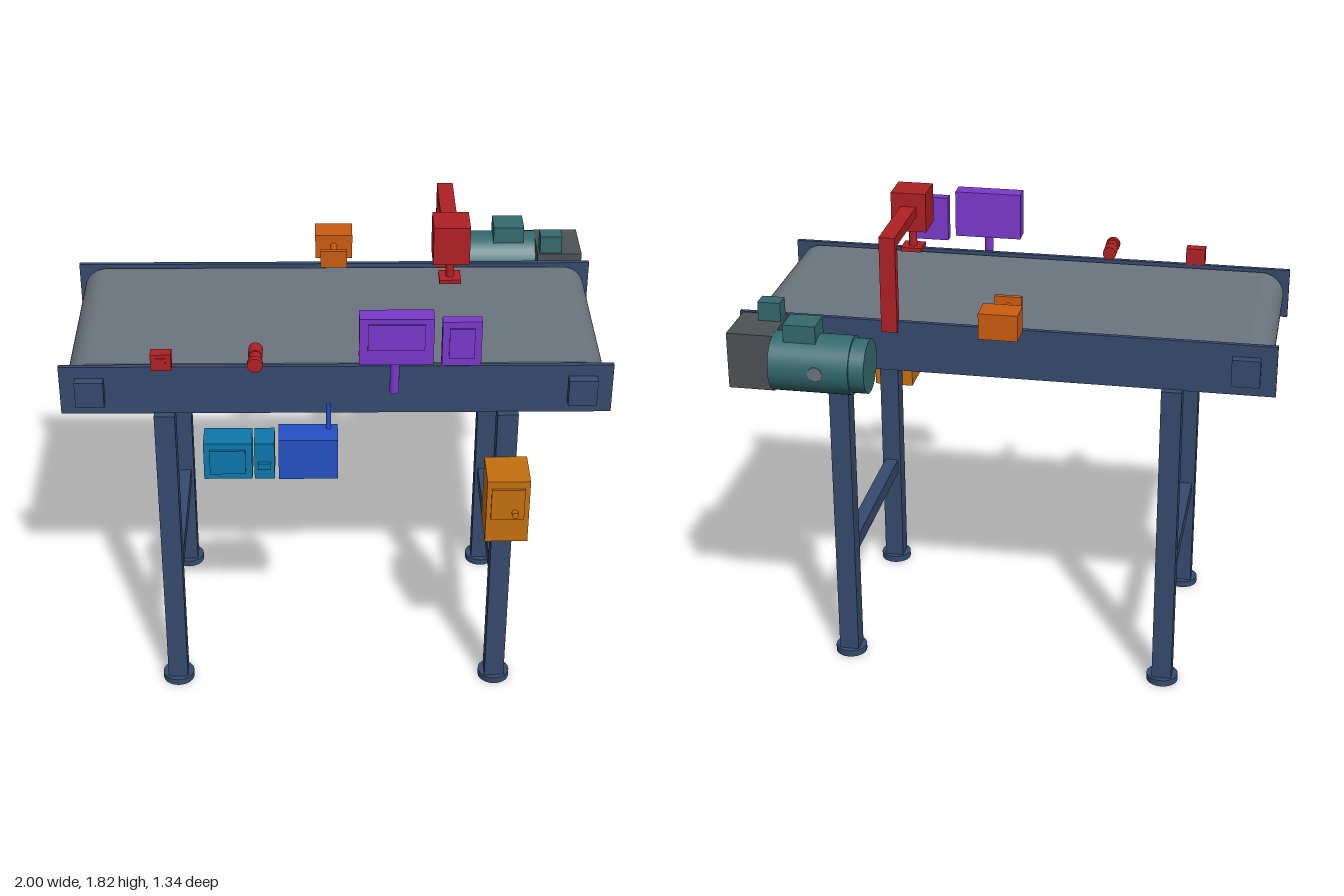
import * as THREE from 'three';
import { toCreasedNormals } from 'three/addons/utils/BufferGeometryUtils.js';

const mat = (name, color) => {
  const m = new THREE.MeshStandardMaterial({ color });
  m.name = name;
  return m;
};

export function createModel() {
  const model = new THREE.Group();
  model.name = 'conveyor';
  const frame = mat('frame navy', 0x354a6e), rubber = mat('belt grey', 0x6c757e);
  const iron = mat('gearbox grey', 0x4c5254), teal = mat('motor teal', 0x33696d);
  const red = mat('sensor red', 0xb02023), orange = mat('sensor orange', 0xcb5c0e);
  const amber = mat('cabinet amber', 0xc5700f), purple = mat('display purple', 0x7a38cc);
  const blue = mat('controller blue', 0x2450c4), cyan = mat('module cyan', 0x0d78ac);

  const add = (name, geo, m, x = 0, y = 0, z = 0) => {
    const mesh = new THREE.Mesh(geo, m);
    mesh.name = name;
    mesh.position.set(x, y, z);
    model.add(mesh);
    return mesh;
  };
  // box given by its low and high limits on each axis
  const box = (name, m, x0, x1, y0, y1, z0, z1) =>
    add(name, new THREE.BoxGeometry(x1 - x0, y1 - y0, z1 - z0), m, (x0 + x1) / 2, (y0 + y1) / 2, (z0 + z1) / 2);
  // cylinder centred at a point, along the chosen axis
  const rod = (name, m, axis, r, len, x, y, z, sides = 32) => {
    const g = new THREE.CylinderGeometry(r, r, len, sides);
    if (axis === 'x') g.rotateZ(Math.PI / 2);
    if (axis === 'z') g.rotateX(Math.PI / 2);
    return add(name, g, m, x, y, z);
  };

  const midZ = 0.045, beltY = 1.34;

  // belt loop
  const stadium = (P, r, hx) => {
    const p = new P();
    p.moveTo(-hx, -r);
    p.lineTo(hx, -r);
    p.absarc(hx, 0, r, -Math.PI / 2, Math.PI / 2, false);
    p.lineTo(-hx, r);
    p.absarc(-hx, 0, r, Math.PI / 2, Math.PI * 1.5, false);
    return p;
  };
  const loop = stadium(THREE.Shape, 0.09, 0.89);
  loop.holes.push(stadium(THREE.Path, 0.08, 0.89));
  const beltGeo = new THREE.ExtrudeGeometry(loop, { depth: 0.725, bevelEnabled: false, curveSegments: 24 });
  add('belt', toCreasedNormals(beltGeo, 0.6), rubber, 0, beltY, midZ - 0.3625);

  // end rollers, shafts and bearing blocks
  for (const s of [-1, 1]) {
    rod('roller', rubber, 'z', 0.08, 0.735, s * 0.89, beltY, midZ);
    rod('rollerShaft', rubber, 'z', 0.035, 0.79, s * 0.89, beltY, midZ);
    for (const d of [-1, 1]) {
      const z = midZ + d * 0.415;
      box('bearingBlock', frame, s * 0.89 - 0.052, s * 0.89 + 0.052, 1.288, 1.392, z - 0.02, z + 0.02);
    }
  }

  // side rails, slider bed and cross members
  for (const d of [-1, 1]) {
    const z = midZ + d * 0.39;
    box('sideRail', frame, -1, 1, 1.242, 1.438, z - 0.009, z + 0.009);
  }
  box('sliderBed', frame, -0.8, 0.8, 1.395, 1.418, midZ - 0.385, midZ + 0.385);
  for (const x of [-0.4, 0.4])
    box('crossMember', frame, x - 0.03, x + 0.03, 1.242, 1.3, midZ - 0.385, midZ + 0.385);

  // legs with round feet and braces
  for (const x of [-0.625, 0.625]) {
    for (const d of [-1, 1]) {
      const z = midZ + d * 0.39;
      box('leg', frame, x - 0.038, x + 0.038, 0.015, 1.245, z - 0.038, z + 0.038);
      rod('foot', frame, 'y', 0.061, 0.026, x, 0.013, z, 24);
    }
    box('legBrace', frame, x - 0.027, x + 0.027, 0.425, 0.485, midZ - 0.36, midZ + 0.36);
  }

  // drive: gearbox, motor, terminal boxes
  box('gearbox', iron, 0.803, 0.976, 1.236, 1.45, -0.597, -0.388);
  rod('motorBody', teal, 'x', 0.109, 0.297, 0.657, 1.344, -0.561, 40);
  rod('motorEndCap', teal, 'x', 0.1, 0.06, 0.482, 1.344, -0.561, 40);
  rod('motorPlug', rubber, 'z', 0.027, 0.02, 0.63, 1.344, -0.662, 20);
  box('motorTerminalBox', teal, 0.637, 0.757, 1.42, 1.505, -0.615, -0.505);
  box('driveSensorBox', teal, 0.811, 0.896, 1.445, 1.522, -0.458, -0.394);

  // small box sensor on the front rail
  box('railSensor', red, -0.665, -0.59, 1.438, 1.503, 0.427, 0.47);
  box('railSensorFace', red, -0.645, -0.61, 1.45, 1.49, 0.47, 0.474);

  // round sensor aimed across the belt
  rod('roundSensorHead', red, 'z', 0.026, 0.055, -0.29, 1.478, 0.412);
  rod('roundSensorBody', red, 'z', 0.021, 0.05, -0.29, 1.478, 0.46);
  rod('roundSensorCollar', red, 'z', 0.028, 0.024, -0.29, 1.478, 0.494);

  // orange probe behind the belt
  box('probeHousing', orange, -0.075, 0.07, 1.443, 1.542, -0.478, -0.373);
  rod('probeRod', orange, 'z', 0.013, 0.11, -0.003, 1.497, -0.322, 16);
  box('probePlate', orange, -0.054, 0.048, 1.463, 1.533, -0.275, -0.257);

  // overhead arm with camera head
  box('gantryPost', red, 0.395, 0.455, 1.4, 1.768, -0.37, -0.334);
  box('gantryArm', red, 0.395, 0.455, 1.728, 1.768, -0.334, 0);
  box('gantryHead', red, 0.358, 0.492, 1.67, 1.82, -0.02, 0.114);
  rod('gantryStem', red, 'y', 0.016, 0.09, 0.425, 1.633, 0.047, 16);
  box('gantryPlate', red, 0.385, 0.465, 1.577, 1.593, 0.008, 0.088);

  // display and side panel
  box('displayHousing', purple, 0.08, 0.344, 1.49, 1.675, 0.453, 0.522);
  box('displayScreen', purple, 0.11, 0.312, 1.552, 1.655, 0.522, 0.53);
  rod('displayPost', purple, 'y', 0.017, 0.15, 0.209, 1.418, 0.464, 16);
  box('sidePanel', purple, 0.375, 0.515, 1.468, 1.646, 0.453, 0.493);
  box('sidePanelFace', purple, 0.4, 0.49, 1.5, 1.62, 0.493, 0.5);

  // hanging controller modules
  box('largeModule', cyan, -0.482, -0.306, 1.035, 1.186, 0.458, 0.565);
  box('largeModuleFace', cyan, -0.46, -0.33, 1.06, 1.16, 0.565, 0.573);
  box('smallModule', cyan, -0.298, -0.225, 1.035, 1.186, 0.458, 0.565);
  box('smallModulePort', cyan, -0.285, -0.238, 1.083, 1.108, 0.565, 0.58);
  box('controller', blue, -0.21, 0.005, 1.035, 1.202, 0.458, 0.568);
  rod('antenna', blue, 'y', 0.009, 0.11, -0.029, 1.25, 0.486, 12);

  // cabinet on the front leg
  box('cabinet', amber, 0.545, 0.702, 0.8, 1.065, 0.475, 0.638);
  box('cabinetDoor', amber, 0.562, 0.684, 0.904, 1.034, 0.638, 0.647);
  rod('cabinetKnob', amber, 'z', 0.012, 0.025, 0.649, 0.935, 0.655, 16);

  return model;
}
